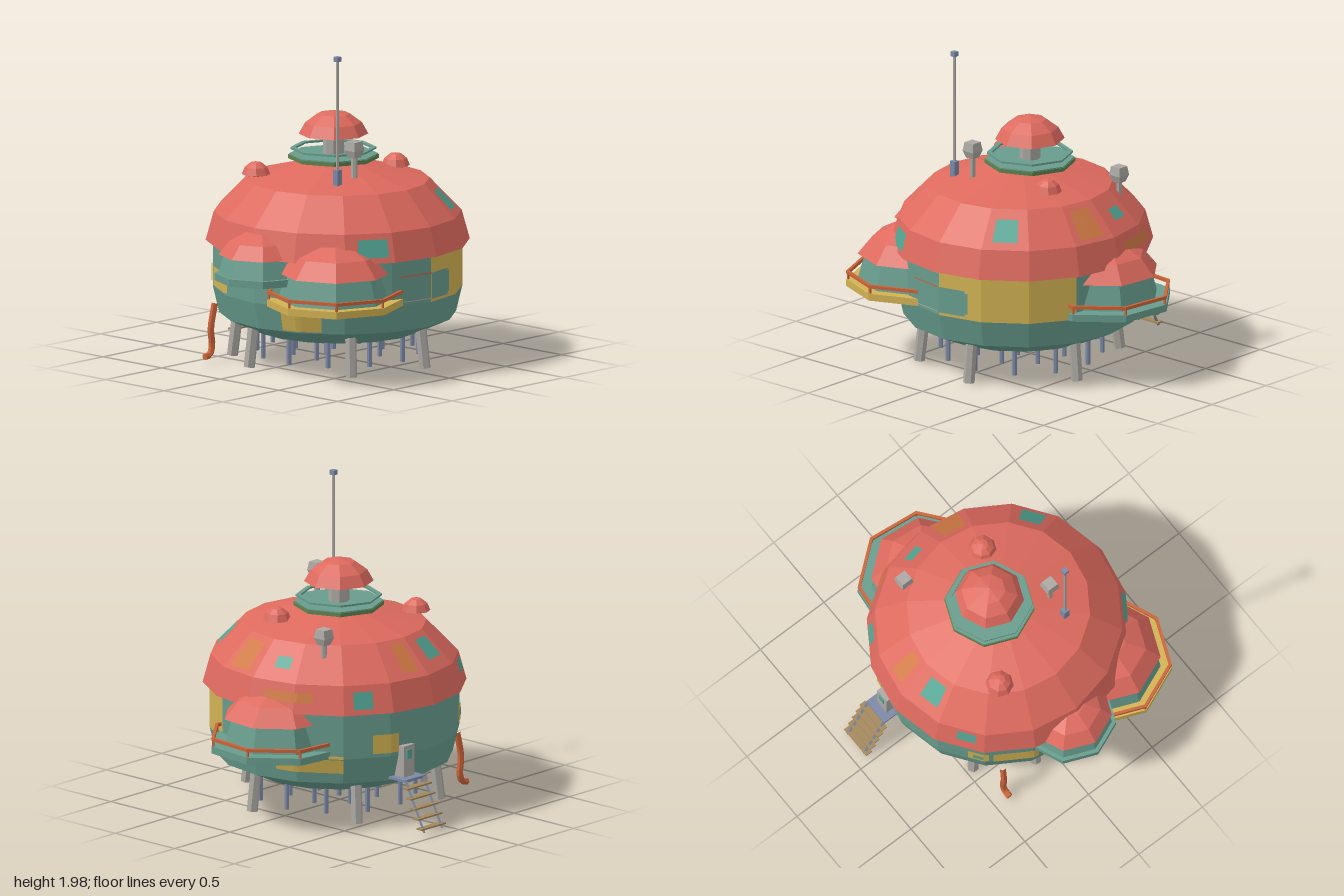
import * as THREE from 'three';

const mat = (name, color) => {
  const m = new THREE.MeshStandardMaterial({ color, flatShading: true });
  m.name = name;
  return m;
};

export function createModel() {
  const root = new THREE.Group();
  root.name = 'stationHouse';
  const M = {
    red: mat('roofRed', 0xde6a5e), teal: mat('wallTeal', 0x689c8d),
    yellow: mat('panelYellow', 0xd2b253), orange: mat('railOrange', 0xcb6439),
    grey: mat('paleGrey', 0xaba8a2), blue: mat('steelBlue', 0x7c89a6),
    wood: mat('stepWood', 0xa3875b), green: mat('deckGreen', 0x5f8350),
    patch: mat('patchTeal', 0x52a593), amber: mat('patchOrange', 0xd07a44),
  };
  const D = Math.PI / 180;
  const add = (parent, name, geo, m, x = 0, y = 0, z = 0) => {
    const mesh = new THREE.Mesh(geo, m);
    mesh.name = name;
    mesh.position.set(x, y, z);
    parent.add(mesh);
    return mesh;
  };
  const group = (parent, name, x, y, z, ry = 0) => {
    const g = new THREE.Group();
    g.name = name;
    g.position.set(x, y, z);
    g.rotation.y = ry;
    parent.add(g);
    return g;
  };
  // profile points run [radius, height] from bottom to top
  const lathe = (pts, n, start = 0, len = Math.PI * 2) =>
    new THREE.LatheGeometry(pts.map(p => new THREE.Vector2(p[0], p[1])), n, start, len);
  const slab = (r, y0, y1) => lathe([[0, y0], [r, y0], [r, y1], [0, y1]], 8);
  const ring = (r, w, y0, y1) => lathe([[r - w, y0], [r, y0], [r, y1], [r - w, y1], [r - w, y0]], 8);
  const box = (w, h, d) => new THREE.BoxGeometry(w, h, d);
  const rod = (parent, name, a, b, r, m, n = 6) => {
    const A = new THREE.Vector3(...a), B = new THREE.Vector3(...b);
    const mesh = add(parent, name, new THREE.CylinderGeometry(r, r, A.distanceTo(B), n), m);
    mesh.position.copy(A).add(B).multiplyScalar(0.5);
    mesh.quaternion.setFromUnitVectors(new THREE.Vector3(0, 1, 0), B.sub(A).normalize());
    return mesh;
  };

  // Main hull: sixteen-sided shell
  const hull = group(root, 'hull', -0.02, 0, 0.065, 0.021);
  hull.scale.x = 0.975;
  const lower = [[0.52, 0.2], [0.74, 0.3], [0.78, 0.465]];
  const dome = [[0.825, 0.755], [0.775, 0.935], [0.575, 1.14], [0.2, 1.24]];
  const wall = [[0.78, 0.465], [0.78, 0.755]];
  add(hull, 'lowerHull', lathe([[0, 0.2], ...lower], 16), M.teal);
  add(hull, 'mainRoof', lathe([[0.76, 0.755], ...dome, [0, 1.25]], 16), M.red);
  add(hull, 'tealWall', lathe(wall, 13, 67.5 * D, 292.5 * D), M.teal);
  add(hull, 'yellowWall', lathe(wall, 3, 0, 67.5 * D), M.yellow);

  // Thin plates that follow the faceted shell
  const shell = [...lower, ...wall, ...dome];
  const radiusAt = y => {
    for (let i = 1; i < shell.length; i++) {
      const [r0, y0] = shell[i - 1], [r1, y1] = shell[i];
      if (y1 > y0 && y >= y0 && y <= y1) return r0 + (r1 - r0) * (y - y0) / (y1 - y0);
    }
    return 0.78;
  };
  const plate = (name, m, t0, t1, y0, y1, lift = 0.008) => {
    const nt = Math.ceil((t1 - t0) / 2.5), ny = 4, pos = [], idx = [];
    for (let j = 0; j <= ny; j++) for (let i = 0; i <= nt; i++) {
      const t = t0 + (t1 - t0) * i / nt, y = y0 + (y1 - y0) * j / ny;
      const off = (((t % 22.5) + 22.5) % 22.5) - 11.25;
      const r = radiusAt(y) * Math.cos(11.25 * D) / Math.cos(off * D) + lift;
      pos.push(r * Math.sin(t * D), y, r * Math.cos(t * D));
      if (i < nt && j < ny) {
        const a = j * (nt + 1) + i, b = a + nt + 1;
        idx.push(a, a + 1, b, a + 1, b + 1, b);
      }
    }
    const g = new THREE.BufferGeometry();
    g.setAttribute('position', new THREE.Float32BufferAttribute(pos, 3));
    g.setIndex(idx);
    g.computeVertexNormals();
    add(hull, name, g, m);
  };
  [[187.5, 199, 1.0, 1.11], [27, 39.5, 0.975, 1.09], [98.5, 107.5, 1.005, 1.065],
    [139.5, 148.5, 0.79, 0.895], [212, 221, 0.84, 0.92], [-39, -25, 0.79, 0.9]]
    .forEach(p => plate('roofPatch', M.patch, ...p));
  [[167, 176, 0.97, 1.12], [71, 85, 0.96, 1.11], [97, 121, 0.825, 0.885]]
    .forEach(p => plate('roofPatchOrange', M.amber, ...p));
  [[-76, -56, 0.31, 0.46], [102, 135, 0.37, 0.46], [102, 135, 0.466, 0.485],
    [149, 162, 0.49, 0.61], [217, 227, 0.5, 0.61], [229, 250, 0.48, 0.6]]
    .forEach(p => plate('hullPatch', M.yellow, ...p));
  plate('patchWindow', M.teal, 219.5, 224.5, 0.53, 0.58, 0.012);
  plate('wallPanel', M.teal, 0.1, 14, 0.485, 0.65);
  plate('wallPanelEnd', M.teal, 14, 15.6, 0.5, 0.635);
  plate('panelTrimTop', M.orange, -18, 0, 0.645, 0.653);
  plate('panelTrimBottom', M.grey, -18, 0, 0.487, 0.493);

  // Side pods: deck, slanted wall, faceted roof, optional rail
  const pod = (name, x, y, z, ry, s, deckR, deckMat, rail) => {
    const g = group(root, name, x, y, z, ry);
    add(g, 'podDeck', slab(deckR, 0, 0.045), deckMat);
    add(g, 'podWall', lathe([[0.35 * s, 0.045], [0.305 * s, 0.21 * s]], 8), M.teal);
    add(g, 'podRoof', lathe([[0, 0.21], [0.35, 0.21], [0.26, 0.32], [0.13, 0.39], [0, 0.41]]
      .map(p => [p[0] * s, p[1] * s]), 8), M.red);
    if (!rail) return;
    add(g, 'podRail', ring(deckR, 0.02, 0.08, 0.1), M.orange);
    for (let i = 0; i < 8; i++) {
      const a = i * Math.PI / 4, r = deckR - 0.012;
      add(g, 'railPost', box(0.012, 0.05, 0.012), M.orange, r * Math.sin(a), 0.065, r * Math.cos(a));
    }
  };
  pod('frontPod', -0.51, 0.467, 0.51, 0, 1, 0.42, M.yellow, true);
  pod('leftPod', 0.58, 0.467, -0.02, 0.28, 1, 0.435, M.teal, true);
  pod('rightPod', -0.705, 0.6, 0.075, 0, 0.77, 0.295, M.teal, false);

  // Lookout on top of the roof
  const top = group(root, 'lookout', 0, 0, 0.01);
  add(top, 'lookoutBase', lathe([[0.19, 1.2], [0.19, 1.256]], 8), M.orange);
  add(top, 'lookoutDeck', slab(0.28, 1.254, 1.278), M.green);
  add(top, 'lookoutFloor', slab(0.275, 1.278, 1.284), M.teal);
  add(top, 'lookoutRail', ring(0.266, 0.03, 1.312, 1.324), M.teal);
  add(top, 'lookoutColumn', new THREE.CylinderGeometry(0.065, 0.065, 0.15, 8), M.grey, 0, 1.345, 0);
  add(top, 'lookoutRoof',
    lathe([[0, 1.408], [0.215, 1.408], [0.175, 1.48], [0.1, 1.535], [0, 1.557]], 8), M.red);

  // Roof fittings: mast, vents, small domes
  add(root, 'mastBase', box(0.04, 0.1, 0.04), M.blue, -0.32, 1.225, 0.35);
  rod(root, 'mast', [-0.32, 1.2, 0.35], [-0.32, 1.96, 0.35], 0.01, M.grey);
  add(root, 'mastTip', box(0.035, 0.03, 0.035), M.blue, -0.32, 1.97, 0.35);
  for (const [x, y, z] of [[-0.17, 1.33, 0.35], [0.465, 1.155, -0.295]]) {
    const g = group(root, 'vent', x, y, z, Math.PI / 4);
    rod(g, 'ventPipe', [0, -0.15, 0], [0, 0.02, 0], 0.019, M.grey, 6);
    add(g, 'ventHead', lathe([[0, 0], [0.04, 0], [0.062, 0.045], [0.05, 0.1], [0, 0.1]], 4), M.grey);
  }
  for (const [x, y, z] of [[-0.425, 1.17, -0.245], [0.335, 1.18, 0.22]])
    add(root, 'smallDome', lathe([[0, -0.01], [0.088, 0.01], [0.07, 0.055], [0.035, 0.083], [0, 0.09]], 8),
      M.red, x, y, z);

  // Splayed legs
  for (const [x, z] of [[0.105, 0.69], [0.57, 0.21], [0.33, -0.45], [-0.42, -0.45], [-0.62, -0.115], [-0.42, 0.565]])
    rod(root, 'leg', [x, 0.012, z], [x * 0.95 - 0.001, 0.28, z * 0.95 + 0.003], 0.036, M.grey, 6);
  // Thin piles below the hull
  for (const [count, r, turn] of [[12, 0.5, 0.12], [8, 0.29, 0.3], [3, 0.1, 0.5]])
    for (let i = 0; i < count; i++) {
      const a = turn + i * Math.PI * 2 / count;
      add(root, 'pile', new THREE.CylinderGeometry(0.015, 0.015, 0.175, 6), M.blue,
        -0.02 + r * Math.sin(a), 0.132, 0.065 + r * Math.cos(a));
    }

  // Drain pipe
  const path = new THREE.CatmullRomCurve3([[-0.64, 0.38, -0.39], [-0.665, 0.22, -0.4],
    [-0.655, 0.11, -0.4], [-0.675, 0.06, -0.4], [-0.72, 0.05, -0.4]].map(p => new THREE.Vector3(...p)));
  const pipeGeo = new THREE.TubeGeometry(path, 12, 0.021, 6);
  add(root, 'drainPipe', pipeGeo, M.orange);
  const end = add(root, 'pipeEnd', new THREE.CircleGeometry(0.021, 6), M.orange, -0.72, 0.05, -0.4);
  end.rotation.y = -Math.PI / 2;

  // Rear door, landing and stairs
  const entry = group(root, 'entry', 0.148, 0, 0);
  add(entry, 'door', box(0.095, 0.2, 0.09), M.grey, 0, 0.425, -0.672);
  add(entry, 'doorWindow', box(0.045, 0.06, 0.008), M.patch, 0, 0.47, -0.719);
  add(entry, 'landing', box(0.18, 0.016, 0.15), M.blue, 0, 0.32, -0.695);
  for (const x of [-0.08, 0.08])
    rod(entry, 'stringer', [x, 0.32, -0.765], [x, 0.02, -0.92], 0.01, M.blue, 4);
  for (let i = 0; i < 5; i++)
    add(entry, 'step', box(0.22, 0.01, 0.045), M.wood, 0, 0.28 - i * 0.059, -0.785 - i * 0.03);

  return root;
}
